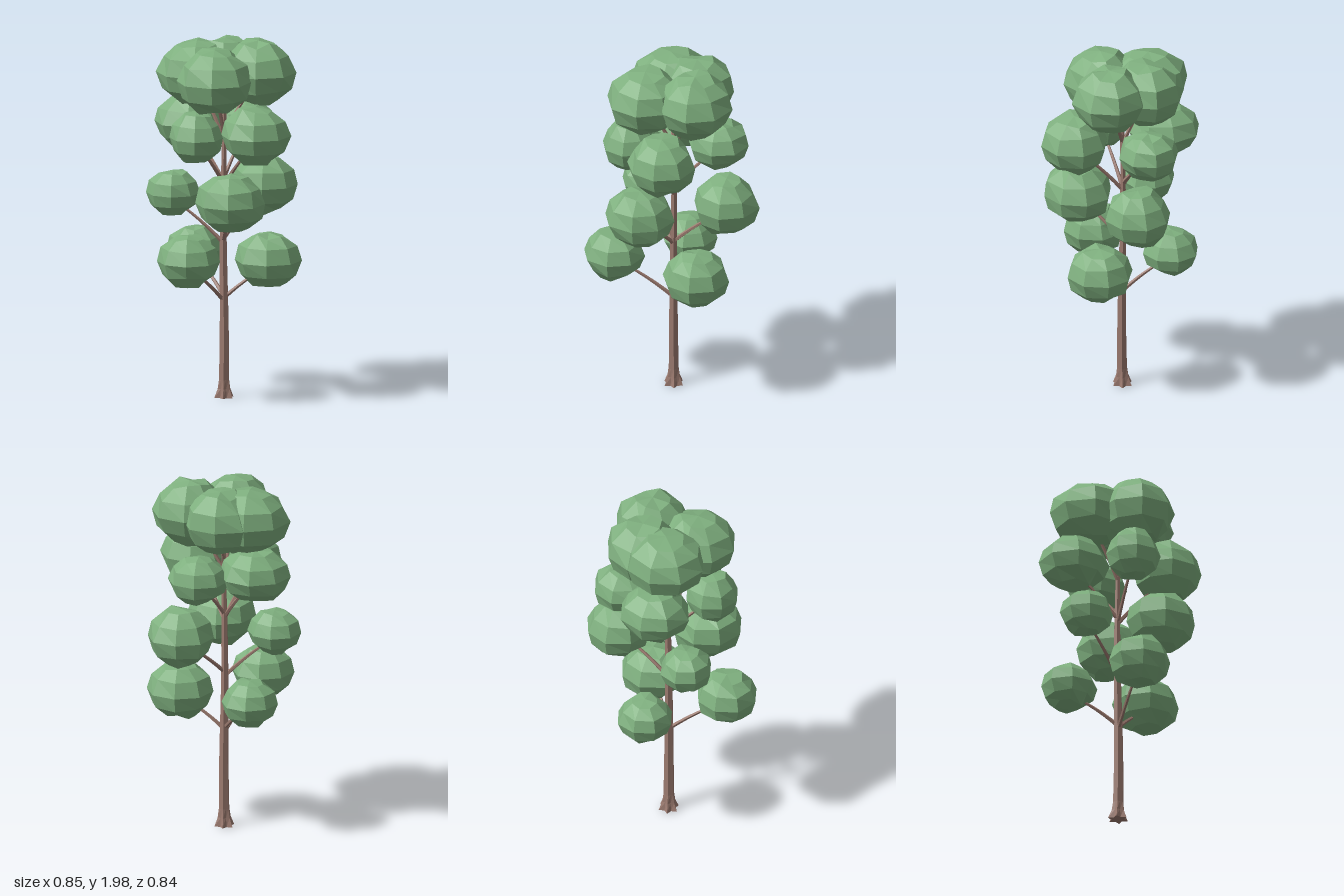
import * as THREE from 'three';

const leafMat = new THREE.MeshStandardMaterial({ color: 0x7fb07f, flatShading: true });
const barkMat = new THREE.MeshStandardMaterial({ color: 0x9c7b70, flatShading: true });

// Foliage tiers: height where branches leave the trunk, then clumps [x, y, z, width radius, height radius]
const tiers = [
  { name: 'lower', fork: 0.56, clumps: [
    [-0.18, 0.81, 0.24, 0.17, 0.152],
    [0.24, 0.77, -0.03, 0.185, 0.162],
    [-0.18, 0.785, -0.24, 0.155, 0.135]] },
  { name: 'middle', fork: 0.88, clumps: [
    [-0.285, 1.135, -0.04, 0.147, 0.13],
    [0.05, 1.13, 0.215, 0.193, 0.172],
    [0.2, 1.15, -0.245, 0.182, 0.17]] },
  { name: 'upper', fork: 1.2, clumps: [
    [0.185, 1.5, 0.16, 0.19, 0.17],
    [-0.14, 1.485, 0.17, 0.148, 0.15],
    [-0.2, 1.505, -0.19, 0.198, 0.15],
    [0.1, 1.485, -0.255, 0.168, 0.138]] },
  { name: 'top', fork: 1.46, clumps: [
    [-0.16, 1.795, -0.11, 0.225, 0.185],
    [-0.01, 1.795, -0.185, 0.208, 0.188],
    [0.18, 1.81, -0.055, 0.207, 0.186],
    [-0.045, 1.79, 0.125, 0.208, 0.186]] },
];

// Small seeded random number generator
function seeded(seed) {
  let s = seed * 7919 + 17;
  return () => {
    s = (s * 16807) % 2147483647;
    return s / 2147483647;
  };
}

// Faceted ball with eight sides: full at the equator, crumpled towards the poles
function foliageClump([x, y, z, r, h], seed) {
  const sides = 8, rings = 6;
  const geo = new THREE.SphereGeometry(1, sides, rings);
  const pos = geo.attributes.position;
  const rand = seeded(seed);
  for (let i = 0; i < 5; i++) rand();
  for (let ring = 0; ring <= rings; ring++) {
    const fromEquator = Math.abs(ring - rings / 2);
    const wobble = [0.06, 0.13, 0.2, 0][fromEquator];
    const size = [0.97, 0.92, 0.88, 0.94][fromEquator];
    const out = [], lift = [];
    for (let s = 0; s < sides; s++) {
      out.push(size + rand() * wobble);
      lift.push(size + rand() * wobble);
    }
    for (let s = 0; s <= sides; s++) {
      const i = ring * (sides + 1) + s;
      const w = r * out[s % sides]; // the seam shares its corner
      pos.setXYZ(i, pos.getX(i) * w, pos.getY(i) * h * lift[s % sides], pos.getZ(i) * w);
    }
  }
  geo.computeVertexNormals();
  const mesh = new THREE.Mesh(geo, leafMat);
  mesh.position.set(x, y, z);
  return mesh;
}

// Slightly wavering trunk with fluted sides and a small star-shaped foot
function makeTrunk() {
  const height = 1.65, sides = 12;
  const geo = new THREE.CylinderGeometry(1, 1, height, sides, 33);
  geo.translate(0, height / 2, 0);
  const pos = geo.attributes.position;
  for (let i = 0; i < pos.count; i++) {
    const x = pos.getX(i), y = pos.getY(i), z = pos.getZ(i);
    const corner = Math.round((Math.atan2(x, z) / (2 * Math.PI)) * sides);
    const ridge = corner % 2 === 0;
    const flare = Math.max(0, 1 - y / 0.1) ** 2;
    const r = (0.032 - 0.0125 * y) * (ridge ? 1 : 0.86) + flare * (ridge ? 0.026 : 0.008);
    pos.setXYZ(i, x * r - 0.007 + 0.003 * Math.sin(y * 5), y, z * r - 0.034 + 0.003 * Math.sin(y * 4));
  }
  geo.computeVertexNormals();
  const mesh = new THREE.Mesh(geo, barkMat);
  mesh.name = 'trunk';
  return mesh;
}

// Arched branch that thins towards its tip
function makeBranch(start, end) {
  const steps = 6, sides = 5;
  const bend = start.clone().lerp(end, 0.5);
  bend.y += 0.03;
  const curve = new THREE.QuadraticBezierCurve3(start, bend, end);
  const geo = new THREE.TubeGeometry(curve, steps, 1, sides, false);
  const pos = geo.attributes.position;
  const v = new THREE.Vector3();
  for (let i = 0; i < pos.count; i++) {
    const t = Math.floor(i / (sides + 1)) / steps;
    const c = curve.getPointAt(t);
    v.fromBufferAttribute(pos, i).sub(c).multiplyScalar(0.012 - 0.006 * t).add(c);
    pos.setXYZ(i, v.x, v.y, v.z);
  }
  geo.computeVertexNormals();
  return new THREE.Mesh(geo, barkMat);
}

export function createModel() {
  const tree = new THREE.Group();
  tree.name = 'tree';
  tree.add(makeTrunk());

  // Each branch carries one clump of foliage
  let seed = 1;
  for (const { name, fork, clumps } of tiers) {
    const tier = new THREE.Group();
    tier.name = name + 'Tier';
    clumps.forEach((clump, i) => {
      const leaf = foliageClump(clump, seed++);
      leaf.name = 'foliageClump' + (i + 1);
      const start = new THREE.Vector3(-0.008, fork - 0.02 + 0.012 * i, -0.033);
      const end = leaf.position.clone();
      end.y -= 0.04;
      const branch = makeBranch(start, end);
      branch.name = 'branch' + (i + 1);
      tier.add(branch, leaf);
    });
    tree.add(tier);
  }
  return tree;
}
